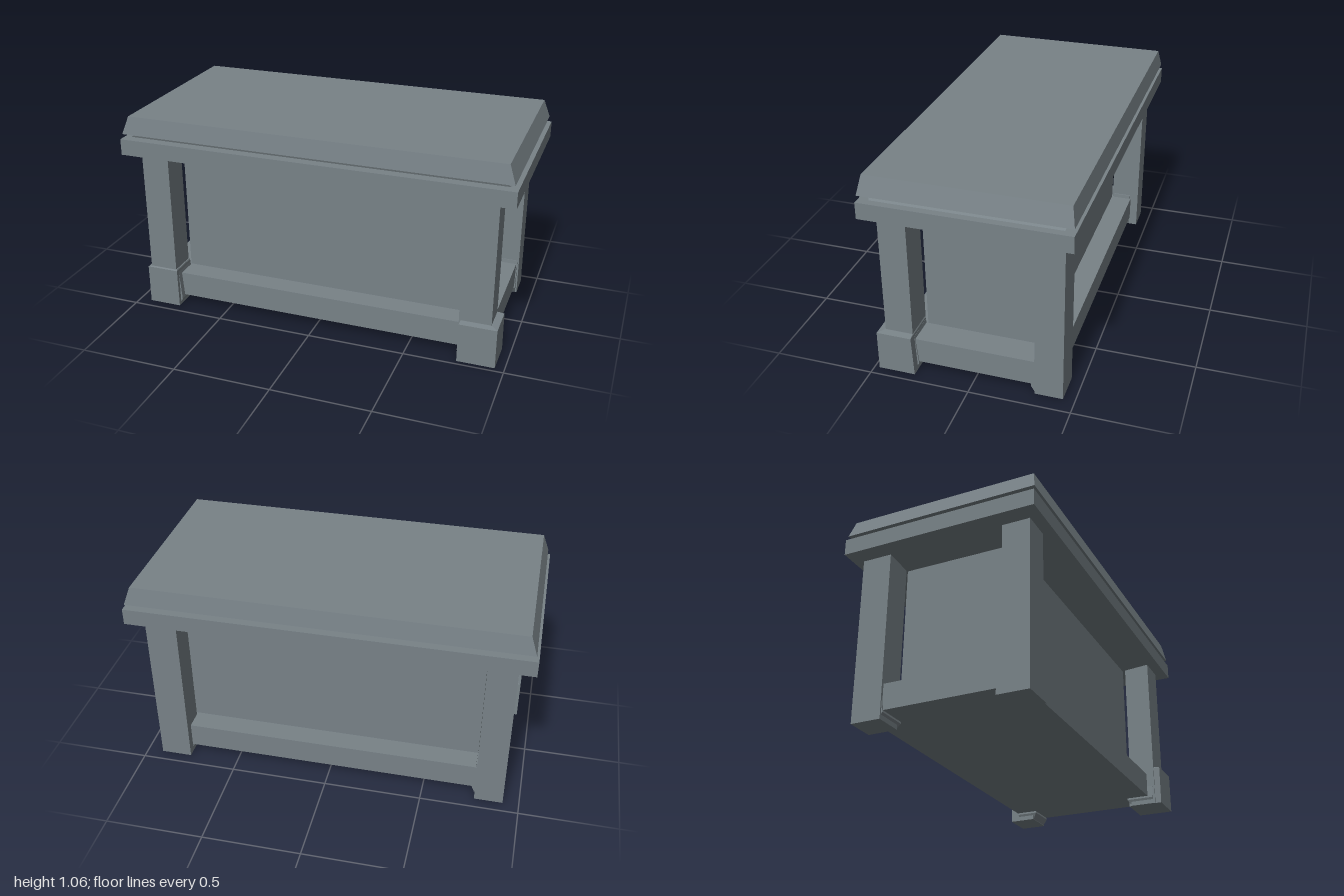
import * as THREE from 'three';

const material = new THREE.MeshStandardMaterial({ color: 0x788287, flatShading: true });

// Closed solid from rectangular levels listed bottom to top: [y, x0, x1, z0, z1]
function stack(name, levels) {
  const pos = [];
  const quad = (a, b, c, d) => pos.push(...a, ...b, ...c, ...a, ...c, ...d);
  const rings = levels.map(([y, x0, x1, z0, z1]) =>
    [[x0, y, z1], [x1, y, z1], [x1, y, z0], [x0, y, z0]]);
  for (let i = 0; i < rings.length - 1; i++) {
    const lo = rings[i], hi = rings[i + 1];
    for (let k = 0; k < 4; k++) {
      const n = (k + 1) % 4;
      quad(lo[k], lo[n], hi[n], hi[k]);
    }
  }
  const b = rings[0], t = rings[rings.length - 1];
  quad(b[3], b[2], b[1], b[0]);
  quad(t[0], t[1], t[2], t[3]);
  const geometry = new THREE.BufferGeometry();
  geometry.setAttribute('position', new THREE.Float32BufferAttribute(pos, 3));
  geometry.computeVertexNormals();
  const mesh = new THREE.Mesh(geometry, material);
  mesh.name = name;
  return mesh;
}

// Level centred on the model: half width x, half depth z
const level = (y, x, z) => [y, -x, x, -z, z];

// Level in one corner, given inner and outer distances from the centre
function corner(sx, sz, y, xIn, xOut, zIn, zOut) {
  const x = [sx * xIn, sx * xOut].sort((a, b) => a - b);
  const z = [sz * zIn, sz * zOut].sort((a, b) => a - b);
  return [y, ...x, ...z];
}

export function createModel() {
  const model = new THREE.Group();

  // Chest body on its wider plinth
  model.add(stack('plinth', [level(0.045, 0.905, 0.4), level(0.175, 0.905, 0.4)]));
  model.add(stack('body', [level(0.17, 0.765, 0.287), level(0.85, 0.765, 0.287)]));

  // Cornice slab with a slightly sloped underside, then neck and bevelled lid
  model.add(stack('cornice', [
    level(0.84, 0.765, 0.287), level(0.857, 1, 0.499), level(0.94, 1, 0.499)]));
  model.add(stack('neck', [level(0.935, 0.97, 0.447), level(0.972, 0.92, 0.46)]));
  model.add(stack('lid', [level(0.968, 0.987, 0.496), level(1.06, 0.955, 0.479)]));

  // Corner legs with tapered inner feet; the front pair also has outer foot blocks
  for (const sx of [-1, 1]) {
    for (const sz of [-1, 1]) {
      const side = (sz > 0 ? 'front' : 'back') + (sx > 0 ? 'Left' : 'Right');
      const xIn = sx > 0 ? 0.758 : 0.772;
      const zIn = sx < 0 && sz < 0 ? 0.29 : 0.303;
      const footZ = sz > 0 ? 0.43 : 0.395;
      model.add(stack(side + 'Leg', [
        corner(sx, sz, 0, xIn, 0.918, zIn, 0.442),
        corner(sx, sz, 0.865, xIn, 0.918, zIn, 0.442)]));
      model.add(stack(side + 'InnerFoot', [
        corner(sx, sz, 0.003, 0.767, 0.91, 0.303, footZ),
        corner(sx, sz, 0.035, 0.753, 0.91, 0.283, footZ),
        corner(sx, sz, 0.195, 0.765, 0.91, 0.299, footZ)]));
      if (sz > 0) {
        const [xOut, zOut] = sx > 0 ? [0.953, 0.475] : [0.935, 0.449];
        model.add(stack(side + 'Foot', [
          corner(sx, sz, 0, 0.763, xOut, 0.29, zOut),
          corner(sx, sz, 0.207, 0.765, xOut, 0.3, zOut),
          corner(sx, sz, 0.213, 0.767, 0.92, 0.303, 0.444)]));
      }
    }
  }
  return model;
}
